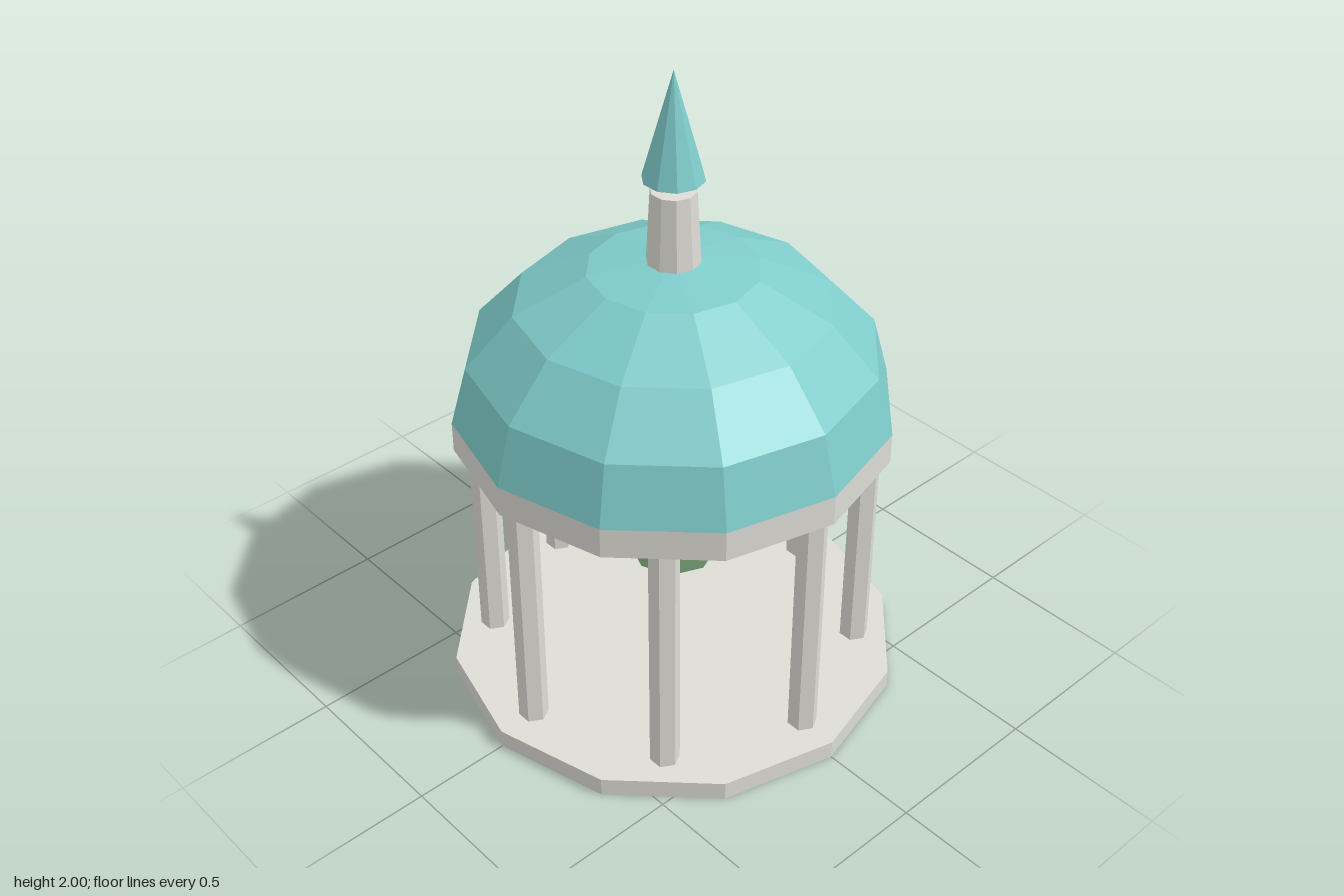
import * as THREE from 'three';

export function createModel() {
  const model = new THREE.Group();
  model.name = 'gazebo';

  const material = (name, color) => {
    const m = new THREE.MeshStandardMaterial({ color, flatShading: true });
    m.name = name;
    return m;
  };
  const stone = material('pale stone', 0xdddcd5);
  const teal = material('teal roof', 0x7fcccb);
  const green = material('soft green', 0x90c08f);

  const add = (name, geometry, mat, x = 0, y = 0, z = 0) => {
    const mesh = new THREE.Mesh(geometry, mat);
    mesh.name = name;
    mesh.position.set(x, y, z);
    model.add(mesh);
    return mesh;
  };

  // Upright prism between two heights, with a corner on the x axis
  const prism = (rTop, rBottom, y0, y1, sides) =>
    new THREE.CylinderGeometry(rTop, rBottom, y1 - y0, sides, 1, false, Math.PI / 2)
      .translate(0, (y0 + y1) / 2, 0);

  // Floor slab and the ring beam that closes the roof from below
  add('floor', prism(0.7, 0.7, 0, 0.06, 12), stone);
  add('ringBeam', prism(0.653, 0.653, 0.865, 0.96, 12), stone);

  // Eight hexagonal columns, all facing the same way
  const columnGeometry = prism(0.045, 0.045, 0.06, 0.865, 6);
  for (let i = 0; i < 8; i++) {
    const a = (i * Math.PI) / 4;
    add('column', columnGeometry, stone, 0.575 * Math.cos(a), 0, 0.575 * Math.sin(a));
  }

  // Flattened half-sphere roof
  const dome = add(
    'dome',
    new THREE.SphereGeometry(0.653, 12, 4, 0, Math.PI * 2, 0, Math.PI / 2),
    teal, 0, 0.96, 0
  );
  dome.scale.y = 0.475 / 0.653;

  // Finial: tapered post with a pointed cap floating just above it
  add('finialPost', prism(0.067, 0.08, 1.41, 1.645, 10), stone);
  add('finialCap',
    new THREE.ConeGeometry(0.09, 0.32, 10, 1, false, Math.PI / 2), teal, 0, 1.84, 0);

  // Faceted ball hanging in the middle
  add('ball', new THREE.SphereGeometry(0.19, 8, 4), green, 0, 0.52, 0);

  return model;
}
